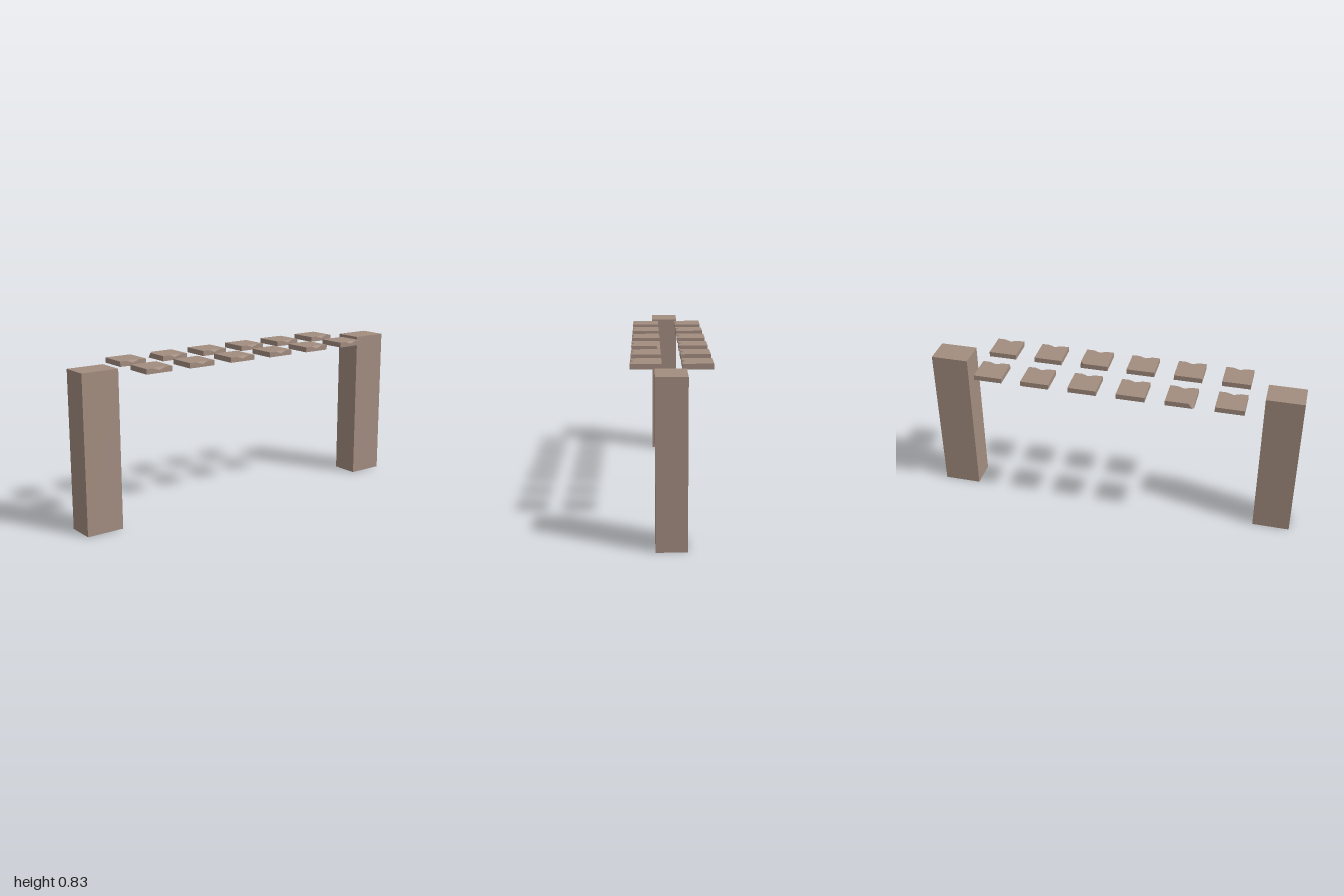
import * as THREE from 'three';

const material = new THREE.MeshStandardMaterial({ color: 0xa38d80, flatShading: true });

const HALF = 0.075, BOTTOM = 0.8, TOP = 0.827;

// Square slab with a V-shaped chip in its +x top edge and optional chipped corners
function slabGeometry(frontChip, backChip) {
  const notchWidth = 0.035, notchDepth = 0.013, notchInset = 0.016;

  // One ring of the slab; (x, v) with v = -z, counterclockwise from above
  const ring = (y, scale, notchX, notchY) => {
    const f = frontChip * scale, b = backChip * scale;
    const pts = [];
    if (f) pts.push([-HALF, y, -HALF + f]);
    pts.push([-HALF + f, y, -HALF], [HALF, y, -HALF]);
    pts.push([HALF, y, -notchWidth], [notchX, notchY, 0], [HALF, y, notchWidth]);
    pts.push([HALF, y, HALF], [-HALF + b, y, HALF]);
    if (b) pts.push([-HALF, y, HALF - b]);
    return pts.map(([x, py, v]) => new THREE.Vector3(x, py, -v));
  };
  const base = ring(BOTTOM, 0.35, HALF, BOTTOM);
  const rim = ring(TOP, 1, HALF, TOP - notchDepth);
  const top = ring(TOP, 1, HALF - notchInset, TOP);

  const positions = [];
  const tri = (a, b, c) => {
    const area = b.clone().sub(a).cross(c.clone().sub(a)).length();
    if (area > 1e-9) for (const p of [a, b, c]) positions.push(p.x, p.y, p.z);
  };
  // Walls, then the two facets of the notch
  for (const [low, high] of [[base, rim], [rim, top]]) {
    low.forEach((p, i) => {
      const j = (i + 1) % low.length;
      tri(p, low[j], high[j]);
      tri(p, high[j], high[i]);
    });
  }
  // Top and bottom caps
  const cap = (pts, up) => {
    const flat = pts.map((p) => new THREE.Vector2(p.x, -p.z));
    for (const [a, b, c] of THREE.ShapeUtils.triangulateShape(flat, [])) {
      if (up) tri(pts[a], pts[b], pts[c]);
      else tri(pts[a], pts[c], pts[b]);
    }
  };
  cap(top, true);
  cap(base, false);

  const geometry = new THREE.BufferGeometry();
  geometry.setAttribute('position', new THREE.Float32BufferAttribute(positions, 3));
  geometry.computeVertexNormals();
  return geometry;
}

export function createModel() {
  const model = new THREE.Group();

  // Square pillars at both ends
  for (const [name, z] of [['frontPillar', 0.9], ['backPillar', -0.9]]) {
    const pillar = new THREE.Mesh(new THREE.BoxGeometry(0.149, 0.822, 0.2), material);
    pillar.name = name;
    pillar.position.set(0.0085, 0.411, z);
    model.add(pillar);
  }

  // Two rows of six floating slabs, two of them with a broken corner
  for (const side of [1, -1]) {
    const row = new THREE.Group();
    row.name = side > 0 ? 'leftSlabRow' : 'rightSlabRow';
    for (let i = 0; i < 6; i++) {
      const frontChip = side < 0 && i === 4 ? 0.027 : 0;
      const backChip = side > 0 && i === 2 ? 0.02 : 0;
      const slab = new THREE.Mesh(slabGeometry(frontChip, backChip), material);
      slab.name = `slab${i + 1}`;
      slab.position.set(side * 0.1235, 0, (i - 2.5) * 0.2545);
      row.add(slab);
    }
    model.add(row);
  }
  return model;
}
